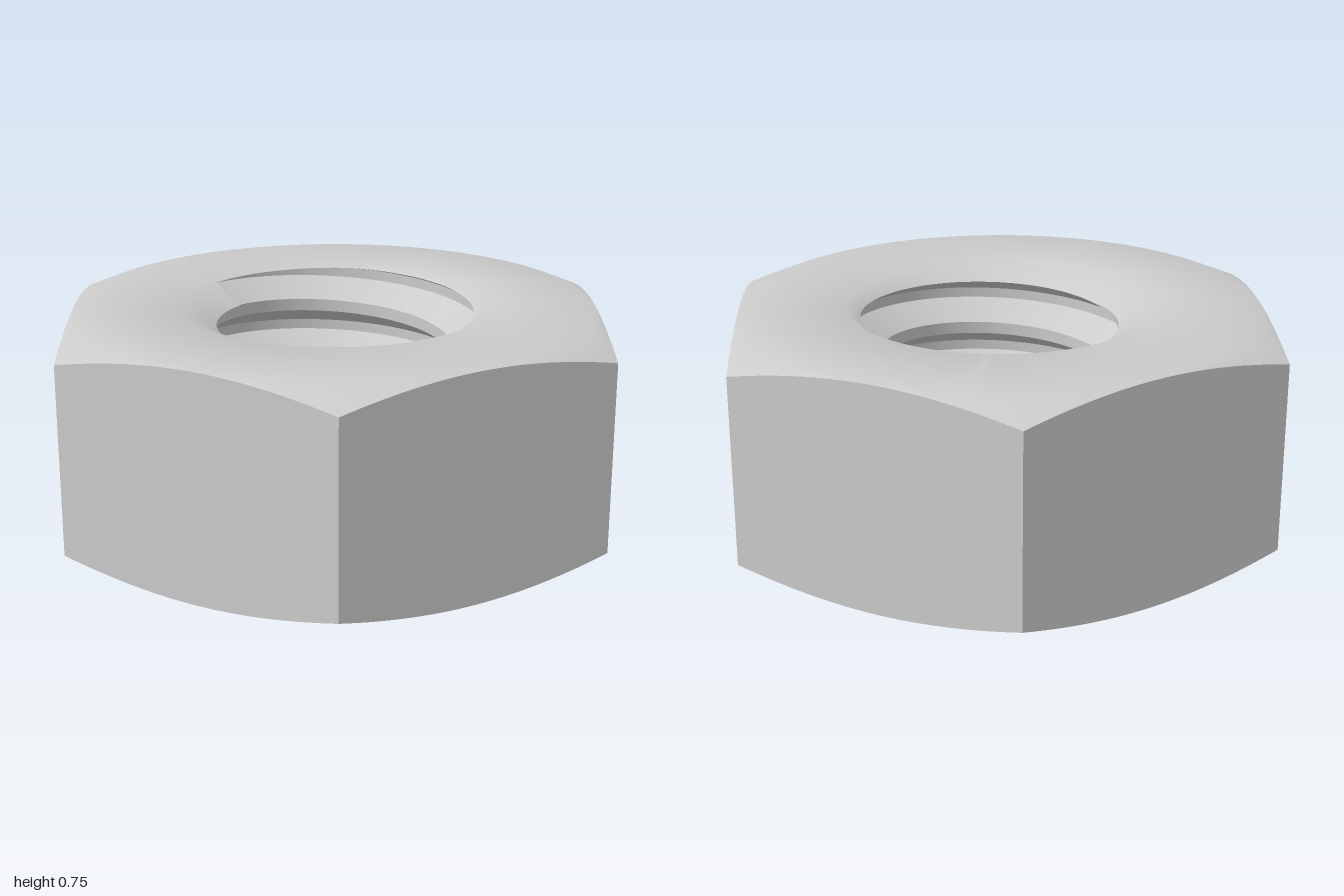
import * as THREE from 'three';
import { toCreasedNormals } from 'three/addons/utils/BufferGeometryUtils.js';

const HEIGHT = 0.75, FLAT = Math.sqrt(3) / 2;   // FLAT: centre to side face
const CHAMFER = 0.43;                           // drop per unit of radius
const PITCH = 0.2, MINOR = 0.395, MAJOR = 0.505;
const SINK = 0.51, SINK_SLOPE = Math.sqrt(3);   // countersink: radius, run per drop
const COLUMNS = 180;

// Thread profile over one pitch: [fraction of pitch, radius]
const THREAD = [[-0.1, MINOR], [0.108, MINOR], [0.414, MAJOR], [0.588, MAJOR]];

// Bore radius at a height and turn (0..1), following the right-hand helix
function boreRadius(y, turn) {
  let u = y / PITCH - turn - THREAD[0][0];
  u = u - Math.floor(u) + THREAD[0][0];
  const points = [...THREAD, [THREAD[0][0] + 1, MINOR]];
  for (let i = 0; i < 4; i++) {
    const [u0, r0] = points[i], [u1, r1] = points[i + 1];
    if (u <= u1) return r0 + (r1 - r0) * (u - u0) / (u1 - u0);
  }
  return MINOR;
}

// Height where the countersink of one end face runs into the thread
function lipHeight(face, inward, turn) {
  let drop = 0;
  while (boreRadius(face + inward * drop, turn) < SINK - drop * SINK_SLOPE) drop += 0.0004;
  return face + inward * drop;
}

// Closed section through the nut at one angle, as [radius, y]
function section(turn) {
  const a = (turn * Math.PI * 2) % (Math.PI / 3) - Math.PI / 6;
  const outer = FLAT / Math.cos(a);
  const drop = (outer - FLAT) * CHAMFER;
  const low = lipHeight(0, 1, turn), high = lipHeight(HEIGHT, -1, turn);
  const loop = [[outer, drop], [outer, HEIGHT - drop], [FLAT, HEIGHT], [SINK, HEIGHT]];
  // thread edges from top to bottom, cut off by the two countersinks
  for (let k = 4; k >= -2; k--) {
    for (let i = 3; i >= 0; i--) {
      const y = THREE.MathUtils.clamp(PITCH * (k + THREAD[i][0] + turn), low, high);
      loop.push([boreRadius(y, turn), y]);
    }
  }
  loop.push([SINK, 0], [FLAT, 0], loop[0]);
  return loop;
}

export function createModel() {
  const positions = [], index = [];
  let rows = 0;
  for (let j = 0; j <= COLUMNS; j++) {
    const turn = j / COLUMNS, angle = turn * Math.PI * 2;
    const loop = section(turn);
    rows = loop.length;
    for (const [r, y] of loop) positions.push(r * Math.cos(angle), y, -r * Math.sin(angle));
  }
  // join neighbouring sections
  for (let j = 0; j < COLUMNS; j++) {
    for (let i = 0; i < rows - 1; i++) {
      const a = j * rows + i, b = a + rows;
      index.push(a, b, b + 1, a, b + 1, a + 1);
    }
  }
  const geometry = new THREE.BufferGeometry();
  geometry.setAttribute('position', new THREE.Float32BufferAttribute(positions, 3));
  geometry.setIndex(index);

  const nut = new THREE.Mesh(
    toCreasedNormals(geometry, 0.6),
    new THREE.MeshStandardMaterial({ color: 0xcccccc })
  );
  nut.name = 'threadedHexNut';

  const model = new THREE.Group();
  model.name = 'hexNut';
  model.add(nut);
  return model;
}
